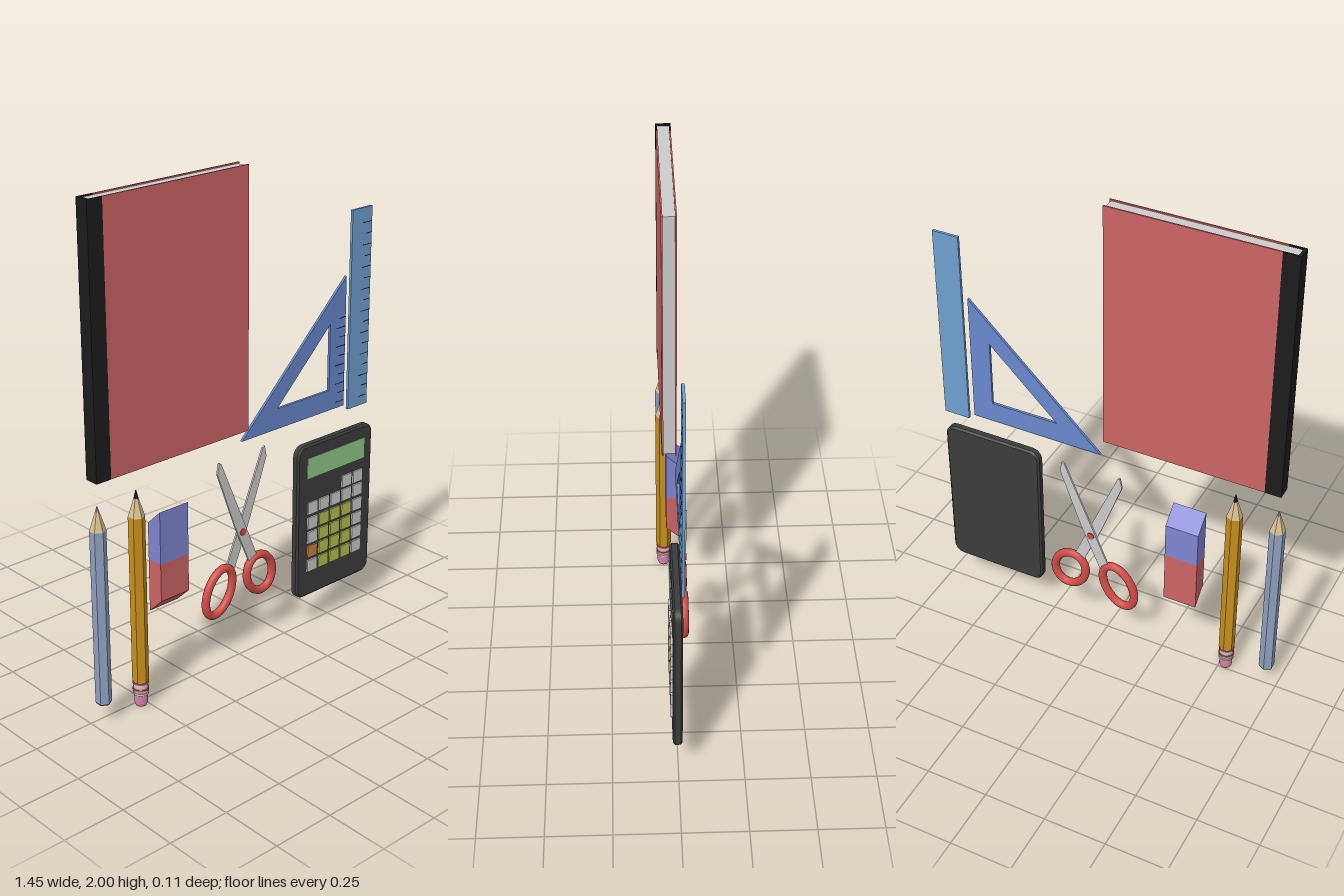
import * as THREE from 'three';

const mat = (color) => new THREE.MeshStandardMaterial({ color });
const RED = mat(0xcc6464), BLACK = mat(0x1c1c1c), GREY = mat(0xcccccc), DARK = mat(0x3c3c3c);
const GOLD = mat(0xc8901c), WOOD = mat(0xd8c090), PINK = mat(0xd880a8), STEEL = mat(0x90a0c0);
const BLUE = mat(0x6888cc), SKY = mat(0x70a0d0), LIME = mat(0xb8c050), ORANGE = mat(0xd08040);
const GREEN = mat(0x90c888), VIOLET = mat(0x8084d0), HANDLE = mat(0xd04c48);

function add(parent, name, geo, material) {
  const m = new THREE.Mesh(geo, material);
  m.name = name;
  parent.add(m);
  return m;
}

function group(parent, name) {
  const g = new THREE.Group();
  g.name = name;
  parent.add(g);
  return g;
}

// Box given by its lower and upper limits on each axis
function box(parent, name, material, x0, x1, y0, y1, z0, z1) {
  const m = add(parent, name, new THREE.BoxGeometry(x1 - x0, y1 - y0, z1 - z0), material);
  m.position.set((x0 + x1) / 2, (y0 + y1) / 2, (z0 + z1) / 2);
  return m;
}

const polygon = (pts) => new THREE.Shape(pts.map(([x, y]) => new THREE.Vector2(x, y)));

function plate(parent, name, material, shape, z0, z1) {
  const geo = new THREE.ExtrudeGeometry(shape, { depth: z1 - z0, bevelEnabled: false });
  const m = add(parent, name, geo, material);
  m.position.z = z0;
  return m;
}

// Upright stick section; six sides put a corner on the front
function stick(parent, name, material, r0, r1, y0, y1, sides = 6) {
  const geo = new THREE.CylinderGeometry(r1, r0, y1 - y0, sides);
  const m = add(parent, name, sides === 6 ? geo.toNonIndexed() : geo, material);
  if (sides === 6) m.geometry.computeVertexNormals();
  m.position.y = (y0 + y1) / 2;
}

function notebook(root) {
  const g = group(root, 'notebook');
  box(g, 'frontCover', RED, -0.65, 0.01, 0.98, 2, 0.034, 0.04);
  box(g, 'backCover', RED, -0.65, 0.01, 0.98, 2, -0.016, -0.01);
  box(g, 'pages', GREY, -0.703, 0.003, 0.985, 1.995, -0.01, 0.034);
  box(g, 'spine', BLACK, -0.715, -0.703, 0.98, 2, -0.017, 0.041);
  box(g, 'spineFront', BLACK, -0.703, -0.65, 0.98, 2, 0.034, 0.041);
  box(g, 'spineBack', BLACK, -0.703, -0.65, 0.98, 2, -0.017, -0.01);
}

function pencils(root) {
  const plain = group(root, 'plainPencil');
  plain.position.set(-0.7, 0, 0.018);
  stick(plain, 'endCap', BLACK, 0.029, 0.031, 0.08, 0.085);
  stick(plain, 'body', STEEL, 0.031, 0.031, 0.085, 0.79);
  stick(plain, 'woodCone', WOOD, 0.031, 0.008, 0.79, 0.862);
  stick(plain, 'lead', STEEL, 0.008, 0.001, 0.862, 0.885);

  const p = group(root, 'eraserPencil');
  p.position.set(-0.525, 0, 0.021);
  stick(p, 'eraserEnd', PINK, 0.021, 0.026, 0, 0.012, 20);
  stick(p, 'eraserTip', PINK, 0.026, 0.026, 0.012, 0.05, 20);
  stick(p, 'ferrule', GREY, 0.028, 0.028, 0.048, 0.108, 20);
  for (const [y, m] of [[0.055, GREY], [0.072, HANDLE], [0.1, HANDLE]])
    stick(p, 'ferruleRing', m, 0.031, 0.031, y - 0.004, y + 0.004, 20);
  stick(p, 'body', GOLD, 0.032, 0.032, 0.108, 0.79);
  stick(p, 'woodCone', WOOD, 0.032, 0.009, 0.79, 0.862);
  stick(p, 'lead', BLACK, 0.009, 0.002, 0.862, 0.893);
}

// Slanted block eraser, drawn as a side outline (z, y) and extruded across x
function eraser(root) {
  const g = group(root, 'eraser');
  const half = (name, material, pts) => {
    const m = plate(g, name, material, polygon(pts.map(([z, y]) => [-z, y])), 0, 0.137);
    m.rotation.y = Math.PI / 2;
    m.position.set(-0.412, 0, 0);
  };
  half('upperHalf', VIOLET, [[0.016, 0.55], [-0.053, 0.55], [-0.053, 0.7], [0.016, 0.765]]);
  half('lowerHalf', RED, [[0.016, 0.395], [-0.053, 0.33], [-0.053, 0.55], [0.016, 0.55]]);
}

function scissors(root) {
  const g = group(root, 'scissors');
  const cx = 0.05;
  const outline = [[0.123, 0.845], [0.132, 0.8], [0.045, 0.56], [0.02, 0.5],
    [-0.04, 0.36], [-0.082, 0.375], [-0.026, 0.51], [0.113, 0.84]];
  for (const s of [1, -1]) {
    const z = s > 0 ? -0.049 : -0.041;
    plate(g, 'blade', GREY, polygon(outline.map(([x, y]) => [cx + s * x, y])), z, z + 0.008);
  }
  const pivot = add(g, 'pivot', new THREE.CylinderGeometry(0.015, 0.015, 0.024, 20), HANDLE);
  pivot.rotation.x = Math.PI / 2;
  pivot.position.set(cx, 0.515, -0.041);

  // Oval finger loops
  for (const [x, y, a, b, tilt] of [[-0.07, 0.29, 0.062, 0.1, -0.43], [0.147, 0.302, 0.067, 0.082, 0.35]]) {
    const pts = [];
    for (let i = 0; i < 16; i++) {
      const t = (i / 16) * Math.PI * 2;
      pts.push(new THREE.Vector3(a * Math.cos(t), b * Math.sin(t), 0));
    }
    const path = new THREE.CatmullRomCurve3(pts, true);
    const loop = add(g, 'fingerLoop', new THREE.TubeGeometry(path, 48, 0.017, 12, true), HANDLE);
    loop.position.set(x, y, -0.041);
    loop.rotation.z = tilt;
  }
}

function calculator(root) {
  const g = group(root, 'calculator');
  const b = 0.008, x0 = 0.296 + b, x1 = 0.72 - b, y0 = 0.14 + b, y1 = 0.813 - b, r = 0.035;
  const s = new THREE.Shape();
  s.moveTo(x0 + r, y0);
  s.absarc(x1 - r, y0 + r, r, -Math.PI / 2, 0);
  s.absarc(x1 - r, y1 - r, r, 0, Math.PI / 2);
  s.absarc(x0 + r, y1 - r, r, Math.PI / 2, Math.PI);
  s.absarc(x0 + r, y0 + r, r, Math.PI, Math.PI * 1.5);
  const body = add(g, 'case', new THREE.ExtrudeGeometry(s, {
    depth: 0.022, bevelSize: b, bevelThickness: 0.007, bevelSegments: 1, curveSegments: 6,
  }), DARK);
  body.position.z = -0.008;
  box(g, 'screen', GREEN, 0.347, 0.672, 0.669, 0.757, 0.018, 0.023);

  // Keys: grey, lime digits, one orange; the top row has two only
  const rows = [0.598, 0.537, 0.471, 0.407, 0.344, 0.28];
  rows.forEach((y, row) => {
    for (let col = row ? 0 : 3; col < 5; col++) {
      const x = 0.378 + col * 0.0643;
      const digit = row > 1 && col > 0 && col < 4;
      const material = row === 4 && col === 0 ? ORANGE : digit ? LIME : GREY;
      box(g, 'key', material, x - 0.027, x + 0.027, y - 0.026, y + 0.026, 0.018, 0.028);
    }
  });
}

function rulers(root) {
  const z0 = -0.02, z1 = -0.009;
  // Scale marks along a right-hand edge
  const marks = (g, edge, y, step, count) => {
    for (let i = 0; i < count; i++)
      box(g, 'scaleMark', BLACK, edge - (i % 2 ? 0.035 : 0.05), edge,
        y + i * step - 0.0015, y + i * step + 0.0015, z1 - 0.001, z1 + 0.0006);
  };
  const ruler = group(root, 'ruler');
  box(ruler, 'blade', SKY, 0.602, 0.711, 0.89, 1.715, z0, z1);
  marks(ruler, 0.711, 0.93, 0.0453, 17);

  const set = group(root, 'setSquare');
  const tri = polygon([[0.022, 0.915], [0.576, 0.915], [0.576, 1.457]]);
  tri.holes.push(new THREE.Path([[0.207, 1], [0.491, 1], [0.491, 1.278]]
    .map(([x, y]) => new THREE.Vector2(x, y))));
  plate(set, 'triangle', BLUE, tri, z0, z1);
  marks(set, 0.576, 0.94, 0.039, 10);
}

export function createModel() {
  const root = new THREE.Group();
  root.name = 'schoolSupplies';
  for (const build of [notebook, pencils, eraser, scissors, calculator, rulers]) build(root);
  return root;
}
